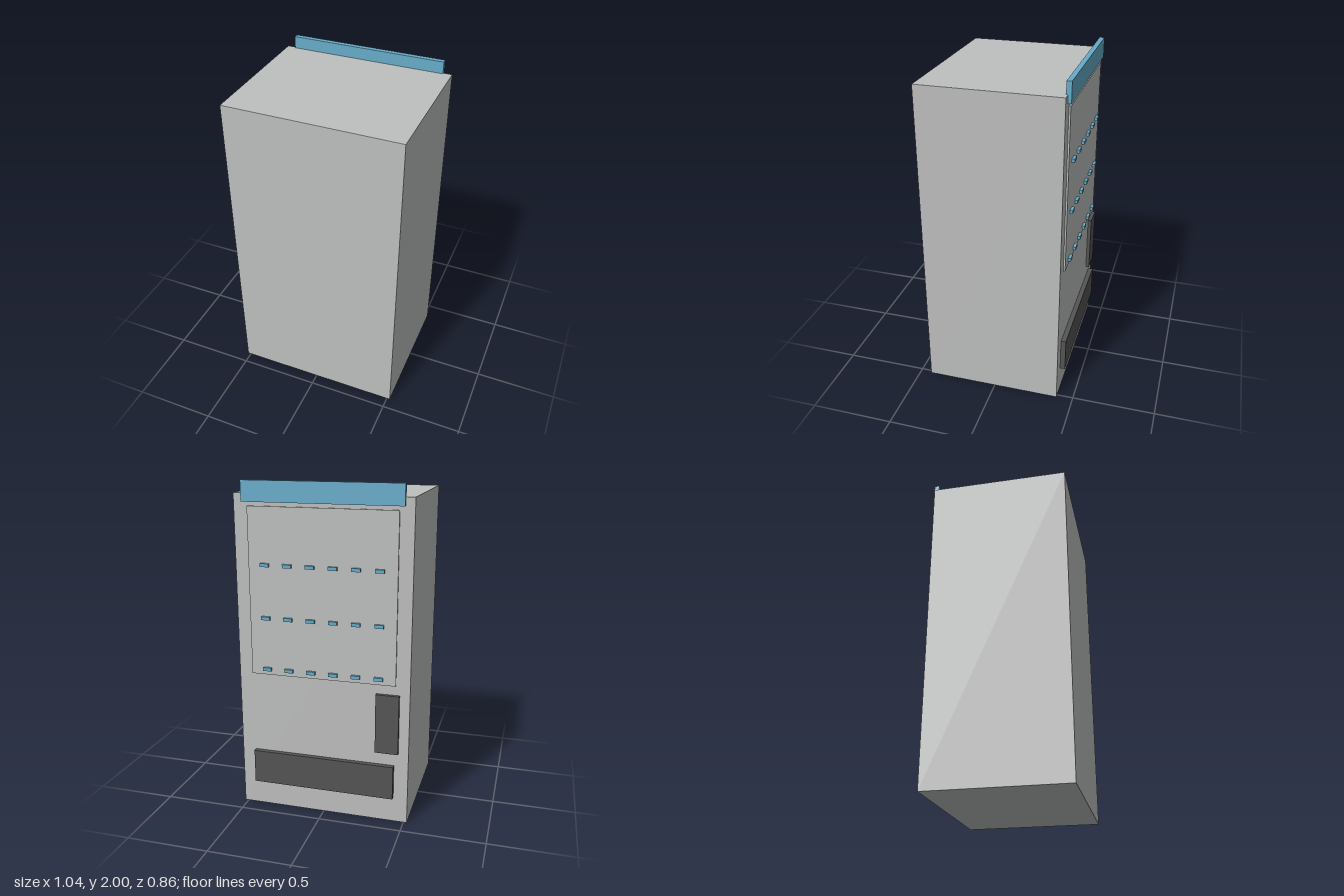
import * as THREE from 'three';

export function createModel() {
  const model = new THREE.Group();
  model.name = 'vendingMachine';

  const grey = new THREE.MeshStandardMaterial({ color: 0xbebfbf });
  grey.name = 'casing grey';
  const blue = new THREE.MeshStandardMaterial({ color: 0x66adca });
  blue.name = 'trim blue';
  const dark = new THREE.MeshStandardMaterial({ color: 0x555555 });
  dark.name = 'slot dark grey';

  // Box given by its limits on each axis
  const box = (name, material, [x0, x1], [y0, y1], [z0, z1], parent = model) => {
    const mesh = new THREE.Mesh(new THREE.BoxGeometry(x1 - x0, y1 - y0, z1 - z0), material);
    mesh.position.set((x0 + x1) / 2, (y0 + y1) / 2, (z0 + z1) / 2);
    mesh.name = name;
    parent.add(mesh);
  };

  const face = -0.4; // plane of the serving side

  box('cabinet', grey, [-0.52, 0.52], [0, 1.928], [face, 0.43]);
  box('topSign', blue, [-0.468, 0.468], [1.88, 2], [-0.419, -0.389]);
  box('displayPanel', grey, [-0.437, 0.437], [0.865, 1.857], [-0.41, face]);
  box('coinPanel', dark, [-0.46, -0.322], [0.446, 0.808], [-0.421, face]);
  box('pickupSlot', dark, [-0.435, 0.435], [0.159, 0.366], [-0.43, face]);

  // Three rows of six selection buttons
  const buttons = new THREE.Group();
  buttons.name = 'selectionButtons';
  model.add(buttons);
  for (const y of [0.901, 1.213, 1.526]) {
    for (let i = 0; i < 6; i++) {
      const x = (i - 2.5) * 0.135;
      box('button', blue, [x - 0.026, x + 0.026], [y - 0.01, y + 0.01], [-0.427, -0.41], buttons);
    }
  }

  return model;
}
